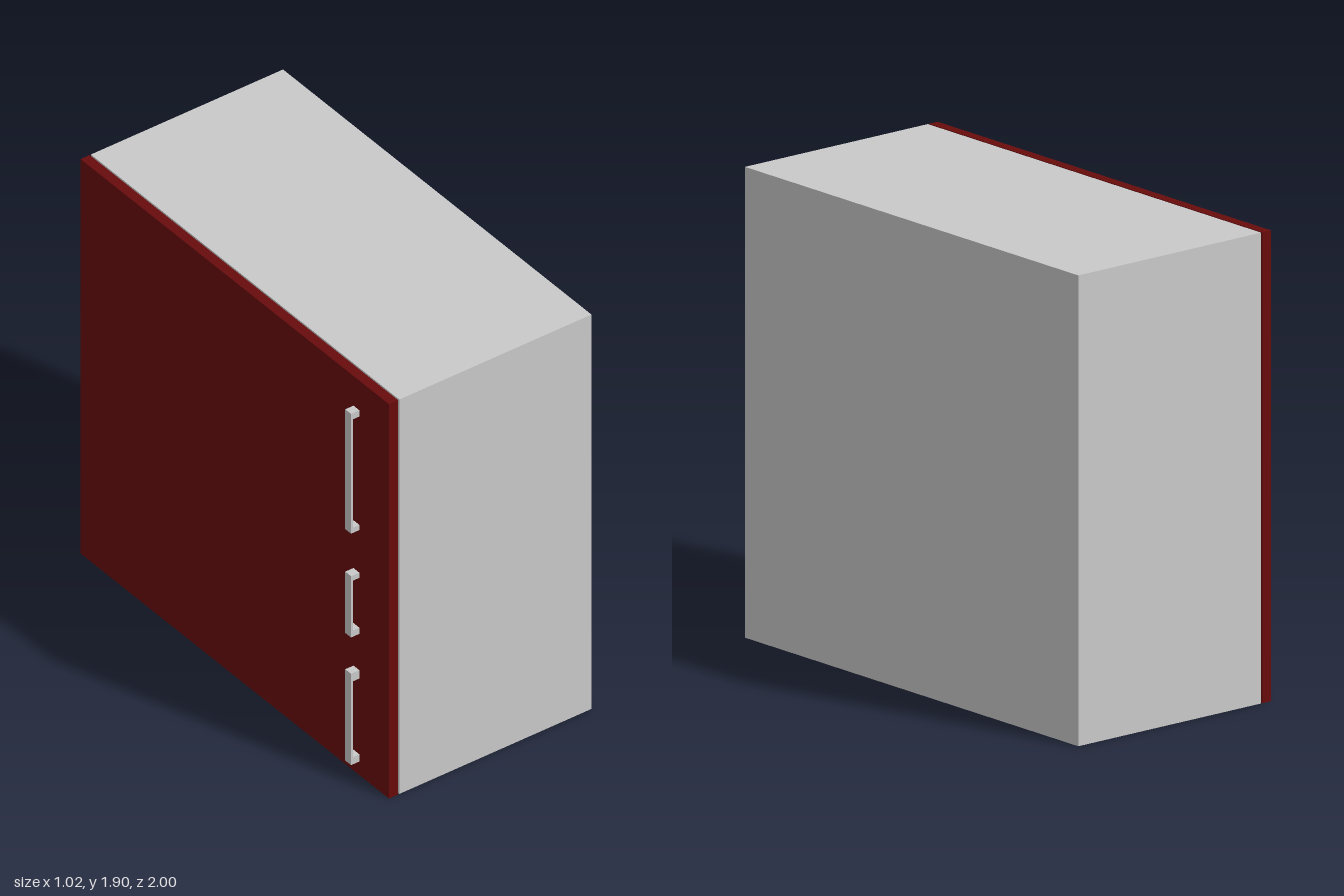
import * as THREE from 'three';

const mat = (name, color) => {
  const m = new THREE.MeshStandardMaterial({ color });
  m.name = name;
  return m;
};

// Box given by its lower and upper corners
function block(name, [x0, y0, z0], [x1, y1, z1], material) {
  const mesh = new THREE.Mesh(new THREE.BoxGeometry(x1 - x0, y1 - y0, z1 - z0), material);
  mesh.position.set((x0 + x1) / 2, (y0 + y1) / 2, (z0 + z1) / 2);
  mesh.name = name;
  return mesh;
}

export function createModel() {
  const grey = mat('light grey', 0xc9c9c9);
  const red = mat('dark red', 0x680b0c);
  const model = new THREE.Group();
  model.name = 'cabinet';

  // Cabinet body and the door panel, parted by a narrow gap
  model.add(block('body', [-0.42, 0, -1], [0.51, 1.9, 1], grey));
  model.add(block('door', [-0.47, 0, -1], [-0.426, 1.9, 1], red));

  // Bracket handles: bottom, top, lower post height, upper post height
  const handles = [
    ['lowerHandle', 0.065, 0.505, 0.035, 0.04],
    ['middleHandle', 0.68, 0.975, 0.03, 0.025],
    ['upperHandle', 1.18, 1.757, 0.025, 0.03],
  ];
  for (const [name, bottom, top, low, high] of handles) {
    const handle = new THREE.Group();
    handle.name = name;
    handle.add(
      block('grip', [-0.51, bottom, 0.77], [-0.5, top, 0.808], grey),
      block('lowerPost', [-0.5, bottom, 0.77], [-0.47, bottom + low, 0.808], grey),
      block('upperPost', [-0.5, top - high, 0.77], [-0.47, top, 0.808], grey),
    );
    model.add(handle);
  }
  return model;
}
